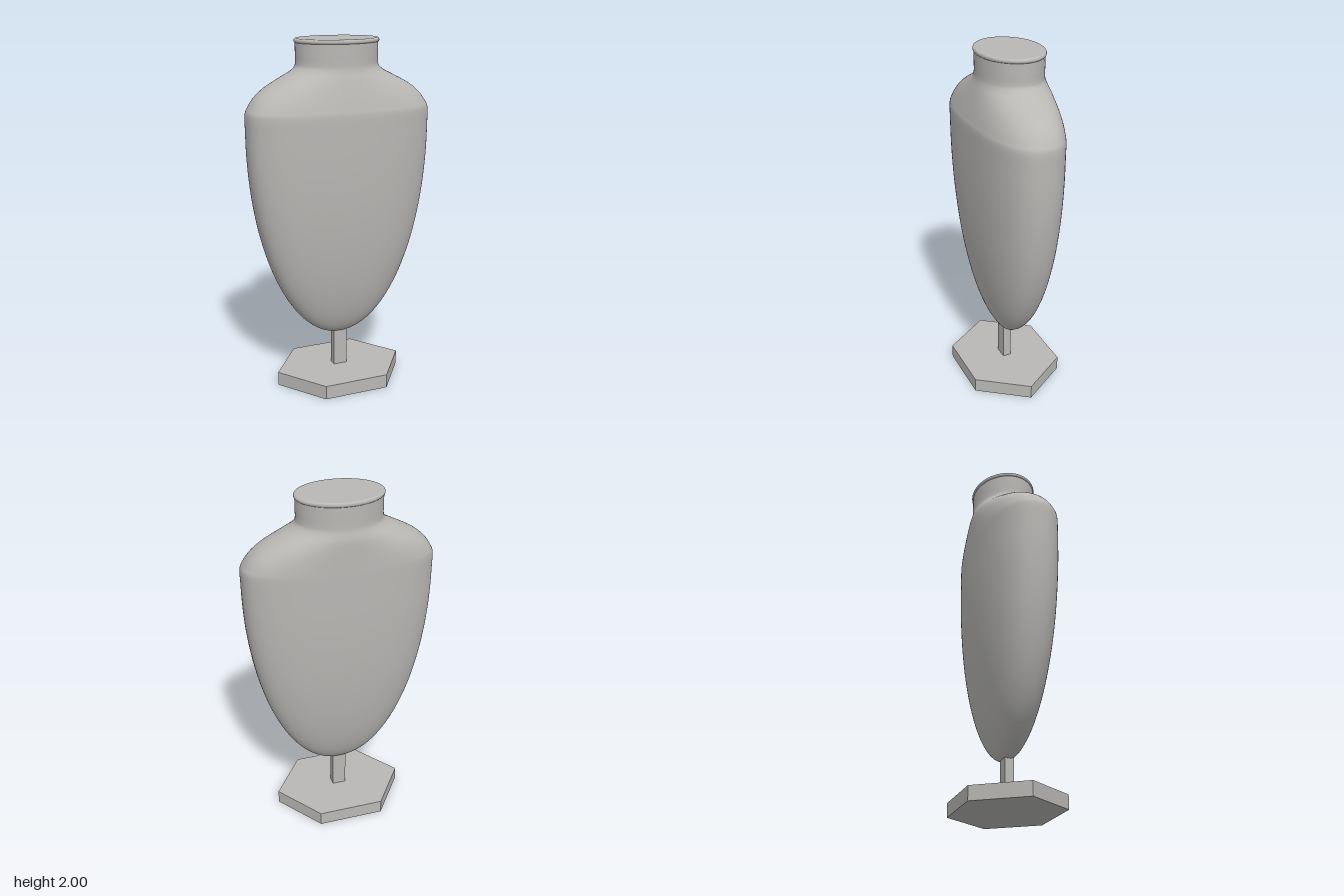
import * as THREE from 'three';

const grey = new THREE.MeshStandardMaterial({ color: 0xb9b8b5 });
grey.name = 'warm grey';

// Skin a stack of superellipse rings: { y, w: half width, f: front z, b: back z, n: exponent }
function loft(rings, sides = 96) {
  const pos = [], idx = [];
  rings.forEach(({ y, w, f, b, n }, r) => {
    for (let i = 0; i < sides; i++) {
      const a = (i / sides) * Math.PI * 2, c = Math.cos(a), s = Math.sin(a);
      const x = Math.sign(c) * Math.abs(c) ** (2 / n) * w;
      const z = Math.sign(s) * Math.abs(s) ** (2 / n) * (f - b) / 2 + (f + b) / 2;
      pos.push(x, y, z);
      if (r === 0) continue;
      const j = (i + 1) % sides, lo = (r - 1) * sides, hi = r * sides;
      idx.push(lo + i, hi + i, lo + j, lo + j, hi + i, hi + j);
    }
  });
  const g = new THREE.BufferGeometry();
  g.setAttribute('position', new THREE.Float32BufferAttribute(pos, 3));
  g.setIndex(idx);
  g.computeVertexNormals();
  return g;
}

export function createModel() {
  const group = new THREE.Group();
  const add = (name, geometry) => {
    const mesh = new THREE.Mesh(geometry, grey);
    mesh.name = name;
    group.add(mesh);
    return mesh;
  };

  // Hexagonal foot
  const hex = new THREE.Shape([[0.385, 0], [0.19, 0.273], [-0.19, 0.273], [-0.385, 0], [-0.19, -0.273], [0.19, -0.273]]
    .map(([x, y]) => new THREE.Vector2(x, y)));
  const foot = new THREE.ExtrudeGeometry(hex, { depth: 0.08, bevelEnabled: false });
  add('base', foot.rotateX(-Math.PI / 2));

  // Square post
  add('post', new THREE.BoxGeometry(0.08, 0.27, 0.05).translate(0, 0.205, 0));

  // Tapered chest: quarter-ellipse profile from the bottom tip
  const rings = [];
  for (let i = 0; i <= 36; i++) {
    const a = (i / 36) * Math.PI / 2, s = Math.max(Math.sin(a), 0.002);
    rings.push({ y: 1.5 - 1.213 * Math.cos(a), w: 0.533 * s, f: 0.218 * s, b: -0.218 * s, n: 2.45 });
  }

  // Shoulders sweeping in to the neck: y, half width, front z, back z
  const keys = [
    [1.5, 0.533, 0.218, -0.218], [1.6, 0.533, 0.218, -0.219], [1.64, 0.518, 0.21, -0.219],
    [1.69, 0.483, 0.197, -0.219], [1.74, 0.424, 0.183, -0.219], [1.79, 0.333, 0.168, -0.218],
    [1.82, 0.274, 0.158, -0.213], [1.845, 0.243, 0.152, -0.207], [1.87, 0.235, 0.15, -0.205],
    [1.92, 0.235, 0.15, -0.205], [1.98, 0.235, 0.15, -0.205],
  ];
  const widths = new THREE.CatmullRomCurve3(keys.map(k => new THREE.Vector3(k[1], k[0], 0)), false, 'catmullrom');
  const depths = new THREE.CatmullRomCurve3(keys.map(k => new THREE.Vector3(k[2], k[0], k[3])), false, 'catmullrom');
  for (let i = 1; i <= 50; i++) {
    const p = widths.getPoint(i / 50), d = depths.getPoint(i / 50);
    const n = 2.45 - 0.45 * THREE.MathUtils.smoothstep(p.y, 1.6, 1.86);
    rings.push({ y: p.y, w: p.x, f: d.x, b: d.z, n });
  }
  add('bust', loft(rings));

  // Rounded oval neck cap
  const edge = [new THREE.Vector2(0.22, 0)];
  for (let i = 0; i <= 10; i++) {
    const a = (i / 10 - 0.5) * Math.PI;
    edge.push(new THREE.Vector2(0.229 + 0.0125 * Math.cos(a), 0.0125 + 0.0125 * Math.sin(a)));
  }
  const rim = add('neckRim', new THREE.LatheGeometry(edge, 72));
  const top = add('neckTop', new THREE.CircleGeometry(0.229, 72).rotateX(-Math.PI / 2).translate(0, 0.025, 0));
  for (const part of [rim, top]) {
    part.scale.z = 0.76;
    part.position.set(0, 1.975, -0.028);
  }
  return group;
}
